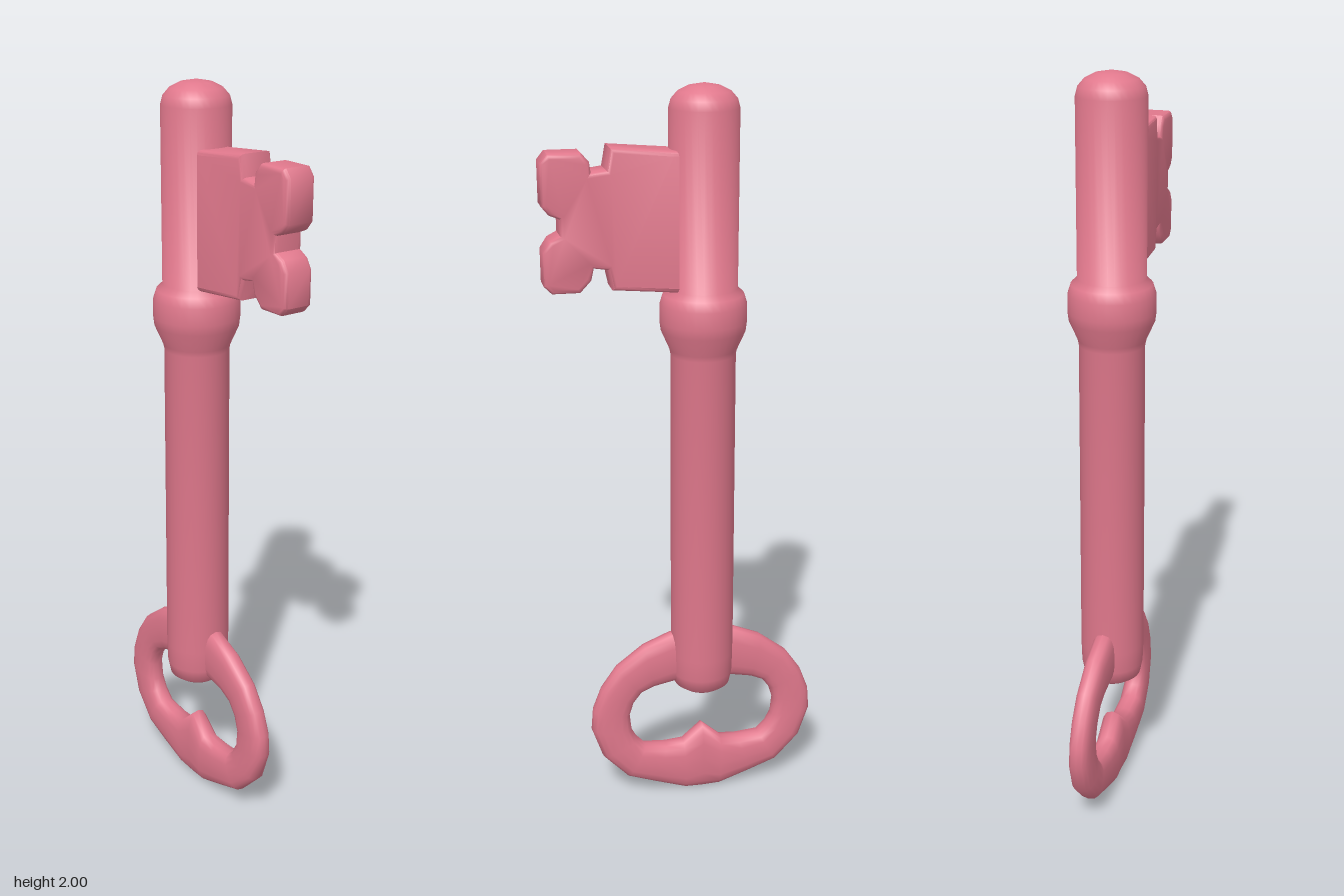
import * as THREE from 'three';
import { toCreasedNormals } from 'three/addons/utils/BufferGeometryUtils.js';

const AXIS_Z = -0.045; // the shaft stands slightly behind the centre

// Round shaft with collar and domed tip
function shaftGeometry() {
  const profile = [
    [0, 0.338], [0.058, 0.34], [0.078, 0.355], [0.085, 0.39], [0.087, 0.45],
    [0.085, 1.32], [0.088, 1.335], [0.11, 1.385], [0.113, 1.41], [0.112, 1.455],
    [0.104, 1.48], [0.088, 1.495], [0.088, 1.94], [0.082, 1.962], [0.066, 1.98],
    [0.04, 1.993], [0, 2.0],
  ].map(([r, y]) => new THREE.Vector2(r, y));
  return toCreasedNormals(new THREE.LatheGeometry(profile, 32), 0.9);
}

// Notched bit: outline in (z, y), bevelled and slightly tapered towards the teeth
function bitGeometry() {
  const outline = [
    [-0.045, 1.49], [0.04, 1.495], [0.195, 1.508], [0.206, 1.56], [0.24, 1.565],
    [0.247, 1.535], [0.275, 1.505], [0.345, 1.505], [0.365, 1.525], [0.365, 1.61],
    [0.347, 1.637], [0.322, 1.65], [0.322, 1.69], [0.347, 1.7], [0.365, 1.722],
    [0.365, 1.825], [0.347, 1.847], [0.265, 1.847], [0.245, 1.825], [0.242, 1.8],
    [0.206, 1.805], [0.196, 1.858], [0.04, 1.845], [-0.045, 1.845],
  ].map(([z, y]) => new THREE.Vector2(z, y));
  const half = 0.046, bevel = 0.012;
  const geo = new THREE.ExtrudeGeometry(new THREE.Shape(outline), {
    depth: 2 * (half - bevel), bevelEnabled: true, bevelThickness: bevel,
    bevelSize: bevel, bevelOffset: -bevel, bevelSegments: 3,
  });
  geo.translate(0, 0, bevel - half).rotateY(-Math.PI / 2);
  const p = geo.attributes.position;
  for (let i = 0; i < p.count; i++) {
    p.setX(i, p.getX(i) * (1.1 - 0.55 * Math.max(0, p.getZ(i))));
  }
  return toCreasedNormals(geo, 0.8);
}

// Oval bow: rounded cross-sections between an outer and an inner edge
function bowGeometry() {
  // outer z, outer y, inner z, inner y, half thickness
  const half = [
    [0, 0.5, 0, 0.37, 0.032], [0.09, 0.512, 0.09, 0.36, 0.032],
    [0.167, 0.48, 0.14, 0.35, 0.031], [0.245, 0.42, 0.175, 0.335, 0.03],
    [0.29, 0.355, 0.198, 0.305, 0.03], [0.315, 0.29, 0.21, 0.265, 0.03],
    [0.32, 0.23, 0.205, 0.215, 0.031], [0.29, 0.14, 0.19, 0.185, 0.033],
    [0.22, 0.065, 0.167, 0.16, 0.035], [0.14, 0.035, 0.105, 0.155, 0.036],
    [0.05, 0.003, 0.055, 0.16, 0.036], [0, 0, 0, 0.21, 0.036],
  ];
  const mirrored = half.slice(1, -1).reverse().map(([a, b, c, d, t]) => [-a, b, -c, d, t]);
  const stations = [...half, ...mirrored];
  const n = stations.length, sides = 16;
  const soft = (v) => Math.sign(v) * Math.pow(Math.abs(v), 0.75);
  const positions = [], index = [];
  stations.forEach(([oz, oy, iz, iy, t], i) => {
    for (let j = 0; j < sides; j++) {
      const a = (j / sides) * Math.PI * 2;
      const k = 0.5 + 0.5 * soft(Math.cos(a));
      positions.push(t * soft(Math.sin(a)), iy + (oy - iy) * k, AXIS_Z + iz + (oz - iz) * k);
      const i2 = (i + 1) % n, j2 = (j + 1) % sides;
      const p00 = i * sides + j, p10 = i2 * sides + j, p01 = i * sides + j2, p11 = i2 * sides + j2;
      index.push(p00, p10, p01, p10, p11, p01);
    }
  });
  const geo = new THREE.BufferGeometry();
  geo.setAttribute('position', new THREE.Float32BufferAttribute(positions, 3));
  geo.setIndex(index);
  geo.computeVertexNormals();
  return geo;
}

export function createModel() {
  const rose = new THREE.MeshStandardMaterial({ color: 0xe0788c });
  rose.name = 'rose';
  const key = new THREE.Group();
  key.name = 'key';
  const add = (name, geometry) => {
    const mesh = new THREE.Mesh(geometry, rose);
    mesh.name = name;
    key.add(mesh);
    return mesh;
  };
  add('shaft', shaftGeometry()).position.z = AXIS_Z;
  add('bit', bitGeometry());
  add('bow', bowGeometry());
  return key;
}
